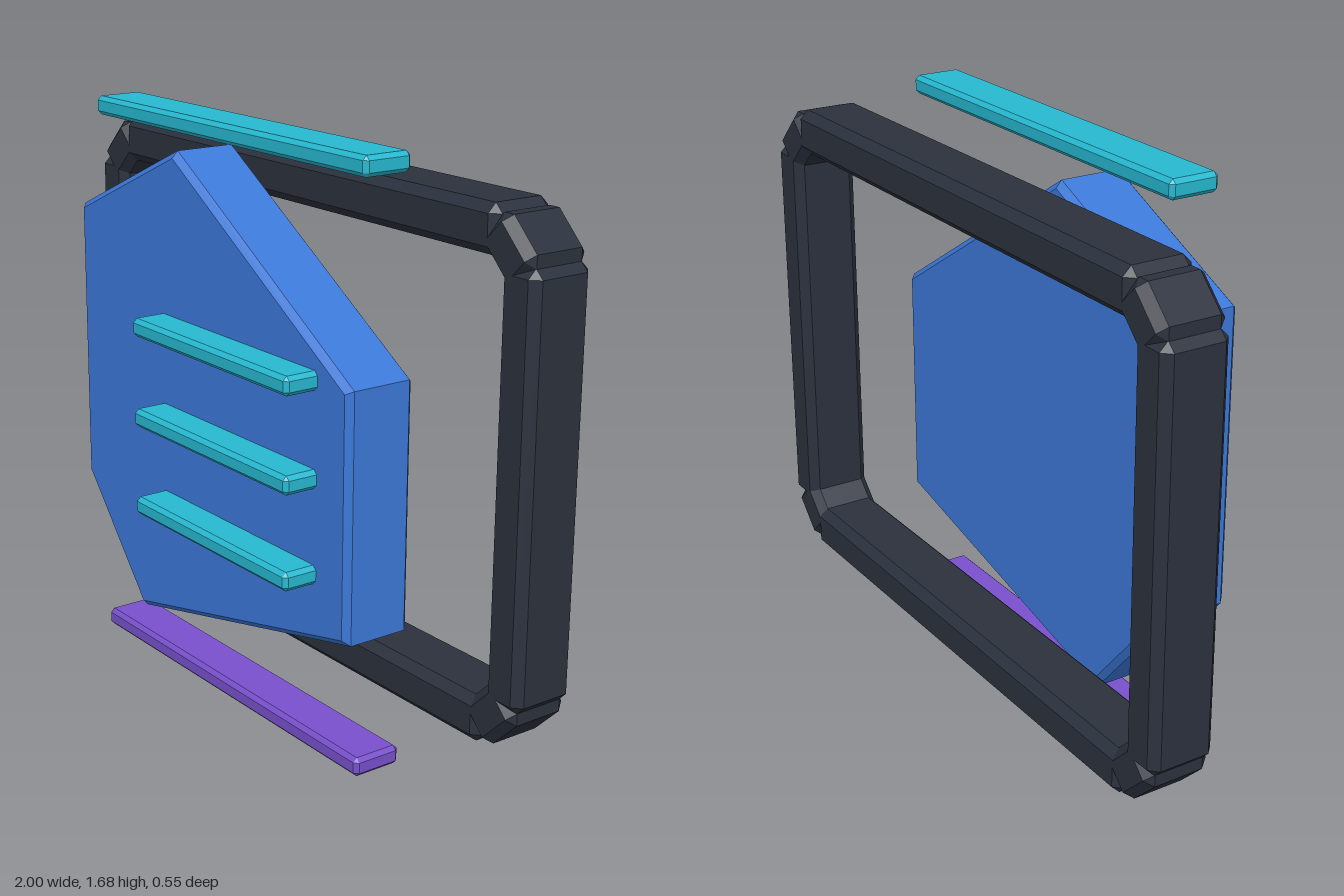
import * as THREE from 'three';
import { ConvexGeometry } from 'three/addons/geometries/ConvexGeometry.js';

const material = (color) => new THREE.MeshStandardMaterial({ color, flatShading: true });

// Box whose edges are all cut by a chamfer c
function chamferBox(w, h, d, c) {
  const points = [];
  for (const sx of [-1, 1]) for (const sy of [-1, 1]) for (const sz of [-1, 1]) {
    const x = w / 2, y = h / 2, z = d / 2;
    points.push(
      new THREE.Vector3(sx * x, sy * (y - c), sz * (z - c)),
      new THREE.Vector3(sx * (x - c), sy * y, sz * (z - c)),
      new THREE.Vector3(sx * (x - c), sy * (y - c), sz * z)
    );
  }
  return new ConvexGeometry(points);
}

export function createModel() {
  const model = new THREE.Group();
  const dark = material(0x2b313d);
  const blue = material(0x3c78d8);
  const cyan = material(0x26b8d0);
  const purple = material(0x7850cc);

  const add = (parent, name, geometry, mat, x, y, z) => {
    const mesh = new THREE.Mesh(geometry, mat);
    mesh.name = name;
    mesh.position.set(x, y, z);
    parent.add(mesh);
    return mesh;
  };

  // Rear frame: four rails joined by diagonal corner blocks
  const frame = new THREE.Group();
  frame.name = 'frame';
  frame.position.set(0, 0.847, -0.175);
  model.add(frame);
  const thick = 0.133, depth = 0.2, cut = 0.025;
  const rail = chamferBox(1.7, thick, depth, cut);
  const post = chamferBox(thick, 1.18, depth, cut);
  const corner = chamferBox(0.17, thick, depth, cut);
  for (const s of [-1, 1]) {
    add(frame, s > 0 ? 'topRail' : 'bottomRail', rail, dark, 0, s * 0.661, 0);
    add(frame, s > 0 ? 'leftPost' : 'rightPost', post, dark, s * 0.933, 0, 0);
    for (const t of [-1, 1]) {
      const block = add(frame, 'cornerBlock', corner, dark, s * 0.887, t * 0.619, 0);
      block.rotation.z = -s * t * Math.PI / 4;
    }
  }

  // Irregular six-sided panel with bevelled rims
  const outline = [
    [-0.71, 0.505], [-0.405, 0.147], [0.603, 0.378],
    [0.603, 1.082], [-0.2, 1.583], [-0.71, 1.355]
  ].map(([x, y]) => new THREE.Vector2(x, y));
  const bevel = 0.018;
  const panel = new THREE.ExtrudeGeometry(new THREE.Shape(outline), {
    depth: 0.217 - 2 * bevel, bevelEnabled: true, bevelSegments: 1,
    bevelSize: bevel, bevelThickness: bevel, bevelOffset: -bevel
  });
  add(model, 'panel', panel, blue, 0, 0, -0.045 + bevel);

  // Three slats on the panel's front
  const slat = chamferBox(0.742, 0.054, 0.125, 0.012);
  for (const y of [0.54, 0.81, 1.08]) add(model, 'slat', slat, cyan, 0.1, y, 0.2115);

  // Floating bars above and below
  const bar = chamferBox(1.267, 0.055, 0.15, 0.012);
  add(model, 'upperBar', bar, cyan, 0, 1.658, 0.08);
  add(model, 'lowerBar', bar, purple, 0, 0.0285, 0.08);

  return model;
}
